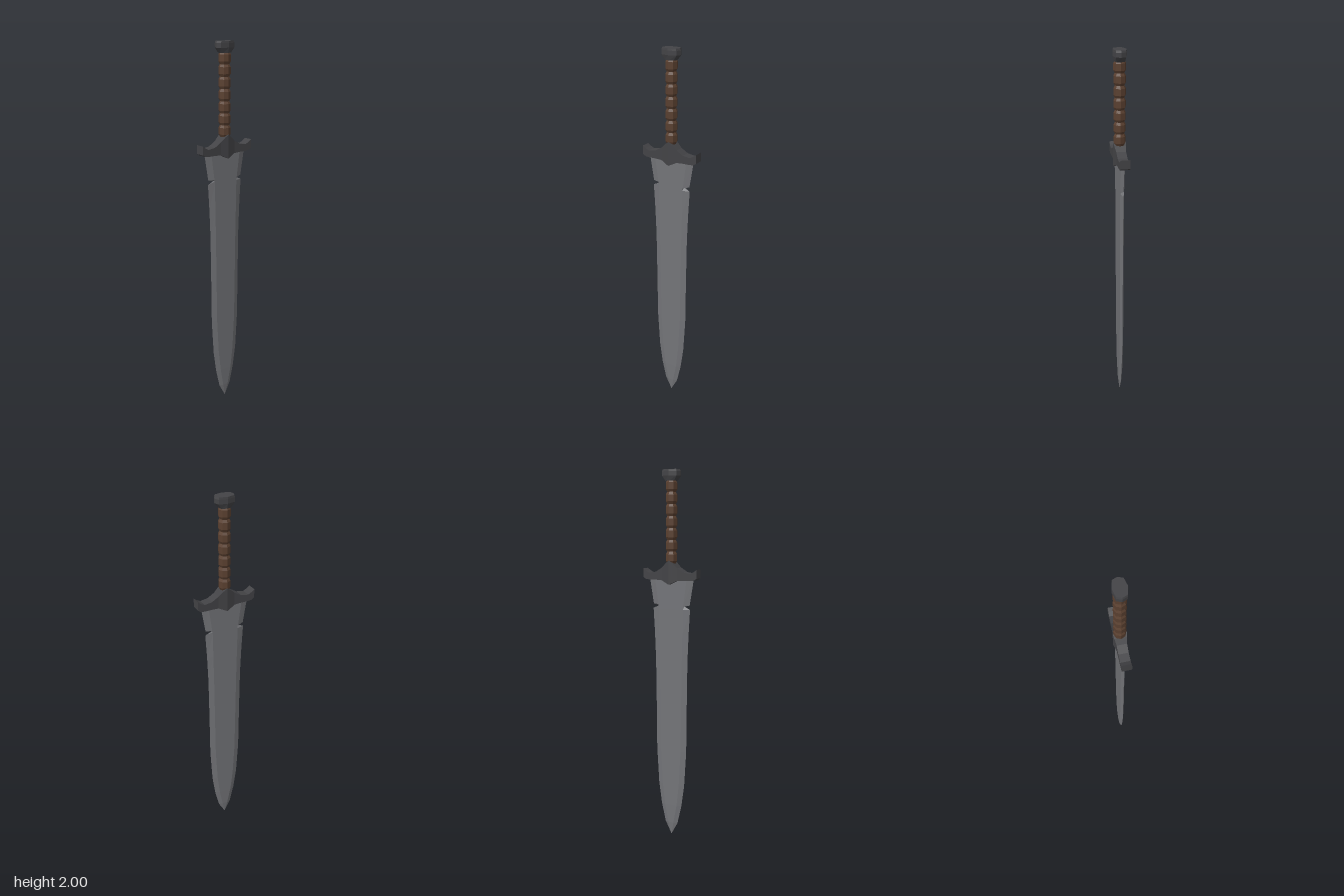
import * as THREE from 'three';

const material = (color) => new THREE.MeshStandardMaterial({ color, flatShading: true });

// Closed loft through convex rings that run counter-clockwise about the loft axis
function loft(name, rings, mat) {
  const n = rings[0].length;
  const index = [];
  for (let i = 0; i < rings.length - 1; i++) {
    for (let j = 0; j < n; j++) {
      const k = (j + 1) % n;
      const a = i * n + j, b = i * n + k, c = b + n, d = a + n;
      index.push(a, b, c, a, c, d);
    }
  }
  const last = (rings.length - 1) * n;
  for (let j = 1; j < n - 1; j++) {
    index.push(0, j + 1, j, last, last + j, last + j + 1);
  }
  const geometry = new THREE.BufferGeometry();
  geometry.setAttribute('position', new THREE.Float32BufferAttribute(rings.flat(2), 3));
  geometry.setIndex(index);
  geometry.computeVertexNormals();
  const mesh = new THREE.Mesh(geometry, mat);
  mesh.name = name;
  return mesh;
}

// Flat blade with bevelled edges: [y, half width, half width of the flat, half thickness]
function createBlade(mat) {
  const rows = [
    [0.005, 0.001, 0.0005, 0.002],
    [0.075, 0.038, 0.016, 0.008],
    [0.18, 0.062, 0.036, 0.01],
    [0.3, 0.079, 0.05, 0.01],
    [0.5, 0.091, 0.061, 0.01],
    [0.75, 0.093, 0.064, 0.01],
    [1.0, 0.096, 0.067, 0.01],
    [1.15, 0.102, 0.07, 0.01],
    [1.285, 0.11, 0.072, 0.01],
    [1.3, 0.074, 0.073, 0.01], // notch
    [1.308, 0.108, 0.075, 0.01],
    [1.45, 0.132, 0.095, 0.01],
  ];
  return loft('blade', rows.map(([y, w, f, t]) => [
    [f, y, t], [w, y, 0], [f, y, -t], [-f, y, -t], [-w, y, 0], [-f, y, t],
  ]), mat);
}

// Crossguard with upturned ends and a central ridge: [x, top, bottom, half depth]
function createGuard(mat) {
  const half = [
    [0, 1.54, 1.415, 0.034],
    [0.02, 1.525, 1.424, 0.03],
    [0.045, 1.502, 1.436, 0.025],
    [0.082, 1.48, 1.438, 0.025],
    [0.122, 1.474, 1.438, 0.025],
    [0.142, 1.484, 1.44, 0.025],
    [0.158, 1.496, 1.45, 0.025],
  ];
  const mirrored = half.slice(1).reverse().map(([x, ...rest]) => [-x, ...rest]);
  return loft('crossguard', [...mirrored, ...half].map(([x, top, bottom, z]) => [
    [x, top, z], [x, bottom, z], [x, bottom, -z], [x, top, -z],
  ]), mat);
}

// Wrapped grip: a stack of swollen bands
function createGrip(mat) {
  const bands = 7, bottom = 1.525, step = 0.0605;
  const profile = [];
  for (let i = 0; i < bands; i++) {
    const y = bottom + i * step;
    profile.push(
      new THREE.Vector2(0.024, y),
      new THREE.Vector2(0.031, y + step * 0.22),
      new THREE.Vector2(0.031, y + step * 0.78),
    );
  }
  profile.push(new THREE.Vector2(0.024, bottom + bands * step));
  const mesh = new THREE.Mesh(new THREE.LatheGeometry(profile, 8), mat);
  mesh.name = 'grip';
  return mesh;
}

// Eight-sided pommel: [y, x scale, z scale]
function createPommel(mat) {
  const outline = [
    [0, 0.035], [0.042, 0.025], [0.052, 0], [0.042, -0.025],
    [0, -0.035], [-0.042, -0.025], [-0.052, 0], [-0.042, 0.025],
  ];
  const rows = [[1.943, 0.6, 0.8], [1.968, 1, 1], [1.99, 1, 1], [2, 0.93, 0.97]];
  return loft('pommel', rows.map(([y, sx, sz]) =>
    outline.map(([x, z]) => [x * sx, y, z * sz])), mat);
}

export function createModel() {
  const group = new THREE.Group();
  group.name = 'sword';
  const iron = material(0x434346);
  group.add(
    createBlade(material(0x737478)),
    createGuard(iron),
    createGrip(material(0x5a4030)),
    createPommel(iron),
  );
  return group;
}
